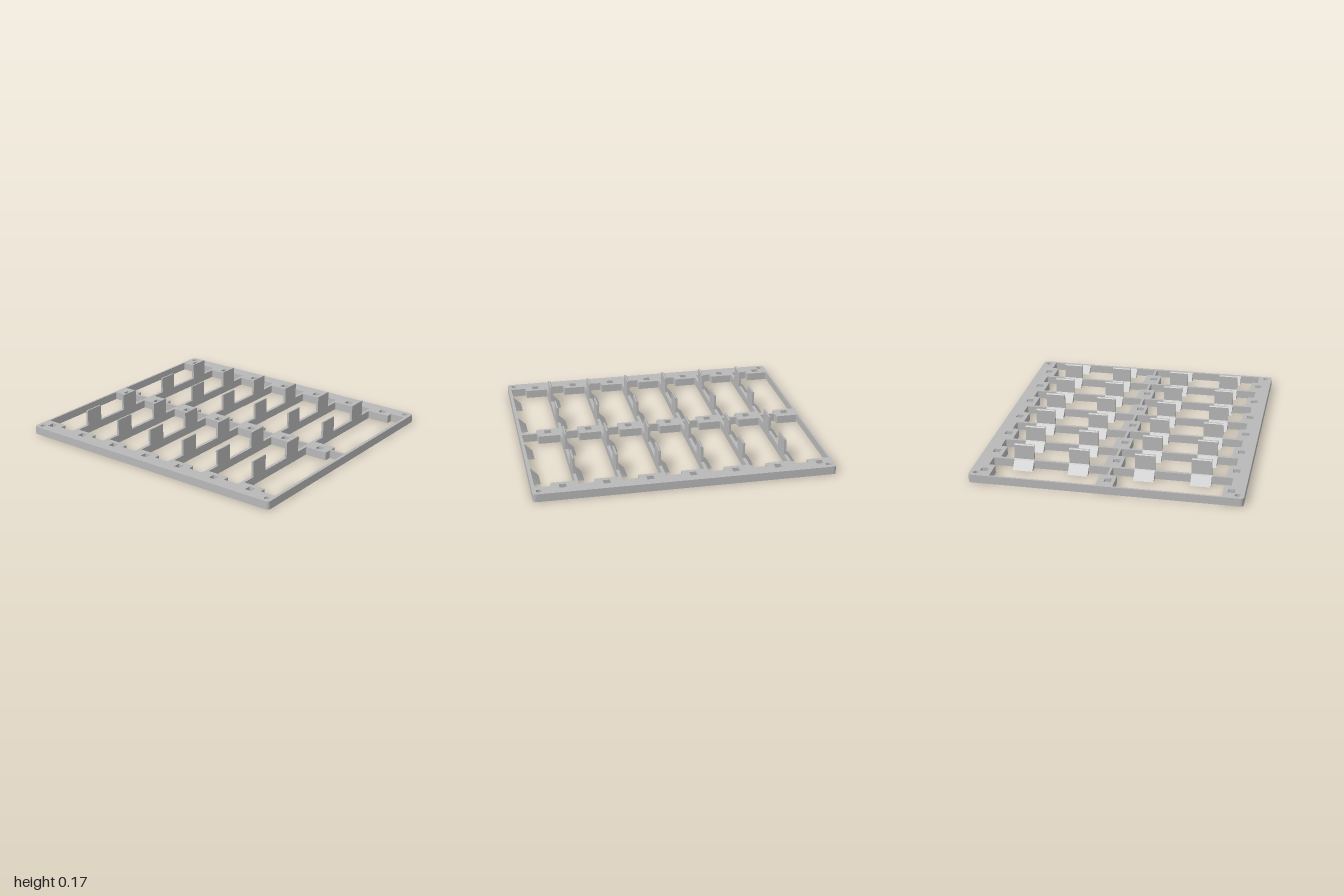
import * as THREE from 'three';

const H = 0.055;        // plate thickness
const PITCH = 0.2845;   // row spacing
const ROWS = 7;
const BAR = 0.021;      // cross bar thickness
const barFront = k => -0.707 + PITCH * k;

// Closed path through points with slightly rounded corners
function roundedPath(pts, r, PathType = THREE.Path) {
  const path = new PathType();
  const n = pts.length;
  const toward = (a, b) => {
    const d = Math.hypot(b[0] - a[0], b[1] - a[1]);
    return [a[0] + (b[0] - a[0]) * r / d, a[1] + (b[1] - a[1]) * r / d];
  };
  pts.forEach((p, i) => {
    const a = toward(p, pts[(i + n - 1) % n]);
    const b = toward(p, pts[(i + 1) % n]);
    if (i === 0) path.moveTo(...a); else path.lineTo(...a);
    path.quadraticCurveTo(...p, ...b);
  });
  path.closePath();
  return path;
}

function rectPath(x0, x1, z0, z1) {
  return new THREE.Path([[x0, z0], [x1, z0], [x1, z1], [x0, z1]].map(p => new THREE.Vector2(...p)));
}

// Frame outline with label openings, square sockets and corner screw holes
function frameGeometry() {
  const shape = roundedPath([[-0.895, -1], [0.895, -1], [0.895, 1], [-0.895, 1]], 0.025, THREE.Shape);
  for (let k = 0; k < ROWS; k++) {
    const base = barFront(k - 1);
    const z0 = k === 0 ? -0.986 : base;
    const zStep = base + 0.157;
    const z1 = barFront(k) - BAR;
    // [narrow left, narrow right, wide left, wide right]
    for (const [a, b, c, d] of [[-0.755, -0.058, -0.8, -0.008], [0.055, 0.755, 0.008, 0.8]]) {
      shape.holes.push(roundedPath(
        [[a, z0], [b, z0], [b, zStep], [d, zStep], [d, z1], [c, z1], [c, zStep], [a, zStep]], 0.008));
    }
    for (const x of [-0.832, -0.037, 0.785]) {
      shape.holes.push(rectPath(x, x + 0.047, base + 0.061, base + 0.107));
    }
  }
  for (const x of [-0.852, 0.852]) for (const z of [-0.957, 0.957]) {
    const hole = new THREE.Path();
    hole.absarc(x, z, 0.019, 0, Math.PI * 2, true);
    shape.holes.push(hole);
  }
  const geo = new THREE.ExtrudeGeometry(shape, { depth: H, bevelEnabled: false, curveSegments: 5 });
  return geo.rotateX(Math.PI / 2).translate(0, H, 0);
}

// Side profile (z, y) extruded along x, centred on x = 0
function profileGeometry(points, width) {
  const shape = new THREE.Shape(points.map(([z, y]) => new THREE.Vector2(-z, y)));
  const geo = new THREE.ExtrudeGeometry(shape, { depth: width, bevelEnabled: false });
  return geo.translate(0, 0, -width / 2).rotateY(Math.PI / 2);
}

export function createModel() {
  const group = new THREE.Group();
  const grey = new THREE.MeshStandardMaterial({ color: 0xb8b8b8 });
  grey.name = 'plainGrey';

  const add = (geo, name, x = 0, z = 0) => {
    const mesh = new THREE.Mesh(geo, grey);
    mesh.name = name;
    mesh.position.set(x, 0, z);
    group.add(mesh);
  };

  add(frameGeometry(), 'frame');

  const width = 0.134;
  // Upright tab, flush with the front of its bar, with an eased top and foot
  const tab = profileGeometry([
    [0, H - 0.003], [0, 0.165], [-0.011, 0.165], [-0.016, 0.159],
    [-0.016, H + 0.006], [-0.02, H], [-0.02, H - 0.003],
  ], width);
  // Wedge sloping down behind the bar
  const ramp = profileGeometry([[-BAR + 0.001, 0], [-BAR + 0.001, H], [-BAR, H], [-0.075, 0]], width);

  for (let k = 0; k < ROWS; k++) {
    for (const x of [-0.593, -0.22, 0.218, 0.59]) {
      add(ramp, 'ramp', x, barFront(k));
      if (k < ROWS - 1) add(tab, 'uprightTab', x, barFront(k));
    }
  }
  return group;
}
